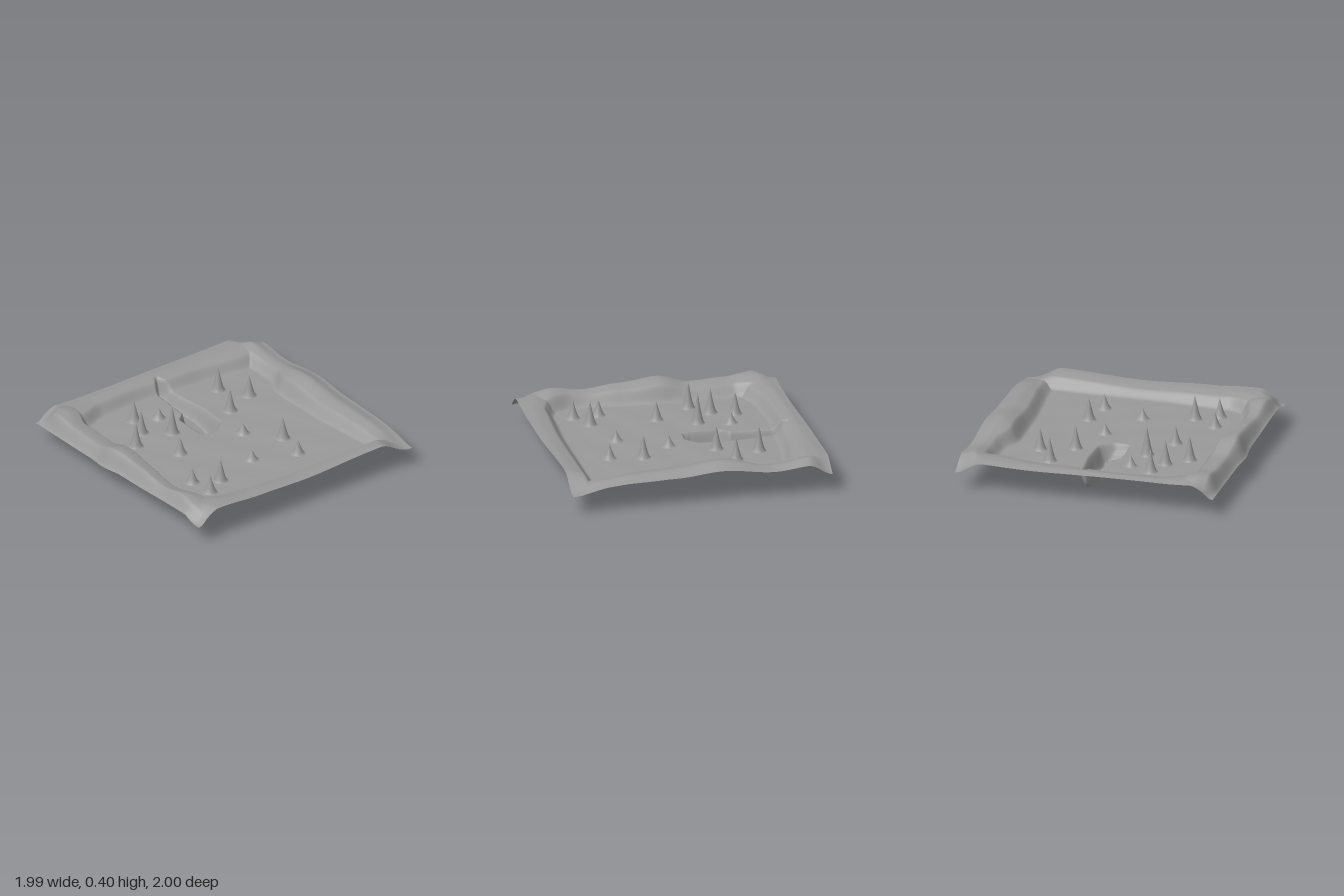
import * as THREE from 'three';

const FLOOR = 0.155;
const { smoothstep, lerp } = THREE.MathUtils;
const step = (a, b, v) => smoothstep(v, a, b);

// Smooth interpolation through [position, value] pairs
function along(points, t) {
  if (t <= points[0][0]) return points[0][1];
  for (let i = 1; i < points.length; i++) {
    const [a, va] = points[i - 1], [b, vb] = points[i];
    if (t <= b) return lerp(va, vb, step(a, b, t));
  }
  return points[points.length - 1][1];
}

// Crest heights of the four banks
const frontCrest = [[-1, 0.25], [-0.85, 0.285], [-0.6, 0.255], [-0.35, 0.245], [-0.1, 0.305],
  [0.2, 0.28], [0.45, 0.255], [0.7, 0.285], [0.85, 0.26], [1, 0.25]];
const backCrest = [[-1, 0.25], [-0.84, 0.275], [-0.55, 0.24], [-0.15, 0.298], [0.2, 0.26],
  [0.5, 0.25], [0.85, 0.22], [1, 0.2]];
const leftCrest = [[-1, 0.26], [-0.4, 0.245], [0.1, 0.25], [0.6, 0.25], [1, 0.27]];
const rightCrest = [[-1, 0.2], [-0.75, 0.258], [-0.05, 0.23], [0.4, 0.245], [0.75, 0.262], [1, 0.26]];

// Where each bank meets the sunken floor
const frontFoot = [[-0.8, 0.66], [-0.65, 0.71], [-0.15, 0.71], [0.55, 0.755], [0.8, 0.69]];
const backFoot = [[-0.8, -0.75], [-0.6, -0.77], [-0.45, -0.77], [-0.25, -0.7], [0.1, -0.7], [0.8, -0.745]];
const leftFoot = [[-0.8, -0.67], [-0.3, -0.73], [0.2, -0.77], [0.5, -0.76], [0.75, -0.69]];
const rightFoot = [[-0.8, 0.775], [0.1, 0.765], [0.6, 0.74], [0.8, 0.68]];

// Gully: bed height and its two banks
const gullyBed = [[-0.88, 0.15], [-0.83, 0.1], [-0.74, 0.062], [-0.5, 0.052], [-0.36, 0.035],
  [-0.25, 0.012], [-0.17, 0.03], [-0.13, 0.09], [-0.09, 0.15]];
const gullyBack = [[-0.88, -0.07], [-0.78, -0.11], [-0.4, -0.14], [-0.2, -0.13], [-0.09, -0.05]];
const gullyFront = [[-0.88, -0.03], [-0.78, 0.015], [-0.46, 0.035], [-0.37, 0.11], [-0.09, 0.11]];

// Spires: x, z, tip height
const spires = [
  [-0.36, -0.52, 0.34], [-0.57, -0.39, 0.36], [-0.27, -0.27, 0.35], [0.3, -0.33, 0.345],
  [0.54, -0.28, 0.28], [0.06, -0.14, 0.25], [0.41, 0.05, 0.25], [-0.5, 0.21, 0.25],
  [-0.26, 0.27, 0.4], [-0.58, 0.39, 0.34], [-0.4, 0.45, 0.36], [0.02, 0.41, 0.31],
  [0.52, 0.42, 0.35], [-0.27, 0.6, 0.37], [0.41, 0.6, 0.29], [0.61, 0.58, 0.31],
];

function groundHeight(x, z) {
  // Banks: a short steep wall, then a nearly level top
  const bank = (past, crest) => (0.78 * step(0, 0.085, past) + 0.22 * step(0.03, 0.18, past)) * (crest - FLOOR);
  let rise = Math.max(
    bank(z - along(frontFoot, x), along(frontCrest, x)),
    bank(along(backFoot, x) - z, along(backCrest, x)),
    bank(along(leftFoot, z) - x, along(leftCrest, z)),
    bank(x - along(rightFoot, z), along(rightCrest, z)));

  // Front bank drops steeply to its outer edge, back and left sag a little
  const frontEdge = along([[-0.5, 0], [0.1, 0.02], [0.8, 0.04], [1, 0]], x);
  rise = lerp(rise, Math.min(rise, frontEdge), step(0.9, 0.985, z));
  rise *= 1 - Math.max(0.28 * step(0.88, 1, -z), 0.12 * step(0.9, 1, -x));

  // Corners fall back to floor level, most broadly at the back right
  const corner = Math.hypot(0.99 - Math.abs(x), 0.99 - Math.abs(z));
  rise *= step(-0.02, x > 0 && z < 0 ? 0.28 : 0.2, corner);

  // Slight unevenness of the floor
  const inner = step(0, 0.3, 0.85 - Math.max(Math.abs(x), Math.abs(z)));
  let y = FLOOR - 0.002 + rise + 0.003 * inner * Math.sin(13 * x + 4 * z) * Math.sin(11 * z - 5 * x);

  // Sunken gully, a little deeper towards the back
  if (x > -0.88 && x < -0.09) {
    const back = along(gullyBack, x), front = along(gullyFront, x);
    const inside = step(back, back + 0.065, z) * (1 - step(front - 0.035, front, z));
    y = lerp(y, Math.min(y, along(gullyBed, x) + 0.12 * z), inside);
  }
  return y;
}

export function createModel() {
  const group = new THREE.Group();
  group.name = 'terrain';

  const segments = 240, width = 1.975, depth = 1.98;
  const geometry = new THREE.PlaneGeometry(width, depth, segments, segments);
  geometry.rotateX(-Math.PI / 2);
  geometry.translate(0, 0, -0.01);

  // Spire tips are centred on grid points so that they stay sharp
  const snap = (v, size, offset) => {
    const cell = size / segments;
    return Math.round((v - offset) / cell) * cell + offset;
  };
  const tips = spires.map(([x, z, top]) => [snap(x, width, 0), snap(z, depth, -0.01), top]);

  const position = geometry.attributes.position;
  for (let i = 0; i < position.count; i++) {
    const x = position.getX(i), z = position.getZ(i);
    let y = groundHeight(x, z);
    for (const [sx, sz, top] of tips) {
      const r = Math.hypot(x - sx, z - sz) / 0.053;
      if (r < 1) y += (top - FLOOR) * Math.pow(1 - r, 1.5);
    }
    // Small bulge in the front edge, wavy side edges
    const bulge = 0.02 * step(0.8, 0.97, z) * Math.exp(-Math.pow((x + 0.15) / 0.12, 2));
    const wave = 0.006 * step(0.85, 0.98, Math.abs(x)) * Math.sin(4 * z);
    position.setXYZ(i, x + wave, y, z + bulge);
  }
  geometry.computeVertexNormals();

  const ground = new THREE.Mesh(geometry,
    new THREE.MeshStandardMaterial({ color: 0x999999, side: THREE.DoubleSide }));
  ground.name = 'ground';
  group.add(ground);
  return group;
}
